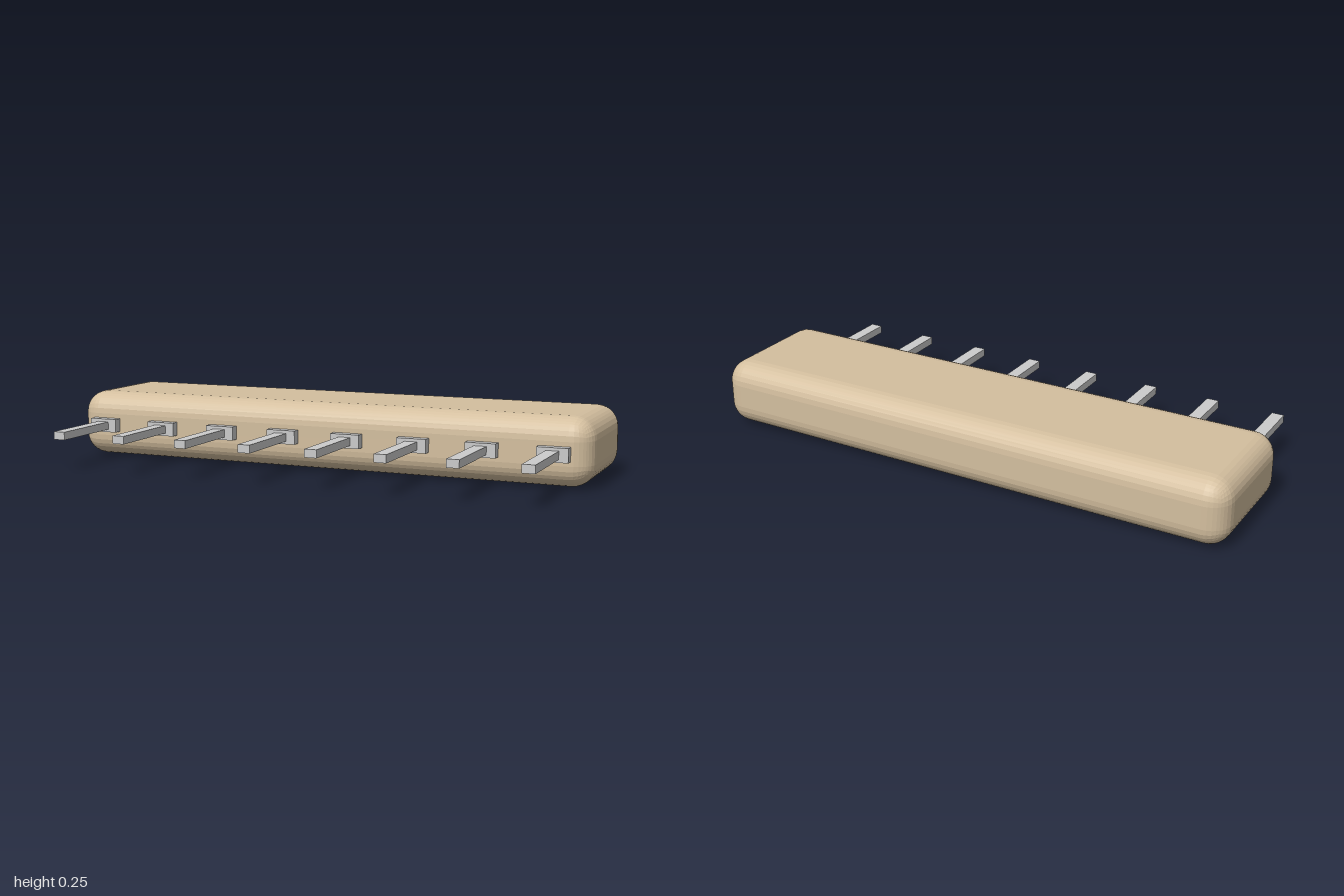
import * as THREE from 'three';
import { RoundedBoxGeometry } from 'three/addons/geometries/RoundedBoxGeometry.js';

const Y = 0.126; // mid height of body and pins

export function createModel() {
  const model = new THREE.Group();
  model.name = 'resistorNetwork';
  const coating = new THREE.MeshStandardMaterial({ color: 0xd4bf9f, flatShading: true });
  const metal = new THREE.MeshStandardMaterial({ color: 0xcccccc });
  const ink = new THREE.MeshStandardMaterial({ color: 0x3a3a3a });

  const add = (parent, name, geometry, material, x, y, z) => {
    const mesh = new THREE.Mesh(geometry, material);
    mesh.name = name;
    mesh.position.set(x, y, z);
    parent.add(mesh);
    return mesh;
  };

  // Rounded body, spanning z -0.41 to 0.083
  add(model, 'body', new RoundedBoxGeometry(2, 0.243, 0.493, 4, 0.08), coating, 0, Y, -0.1635);

  // Row of eight pins, each with a wider collar at the body
  const collarGeometry = new THREE.BoxGeometry(0.11, 0.05, 0.075);
  const leadGeometry = new THREE.BoxGeometry(0.045, 0.029, 0.35);
  for (let i = 0; i < 8; i++) {
    const pin = new THREE.Group();
    pin.name = `pin${i + 1}`;
    pin.position.set(-0.875 + i * 0.25, Y, 0);
    add(pin, 'collar', collarGeometry, metal, 0, 0, 0.0775);
    add(pin, 'lead', leadGeometry, metal, 0, 0, 0.235);
    model.add(pin);
  }

  // Dark dot on the underside marking the first pin
  add(model, 'pinOneDot', new THREE.CylinderGeometry(0.05, 0.05, 0.01, 24), ink, 0.79, 0.005, -0.21);

  return model;
}
